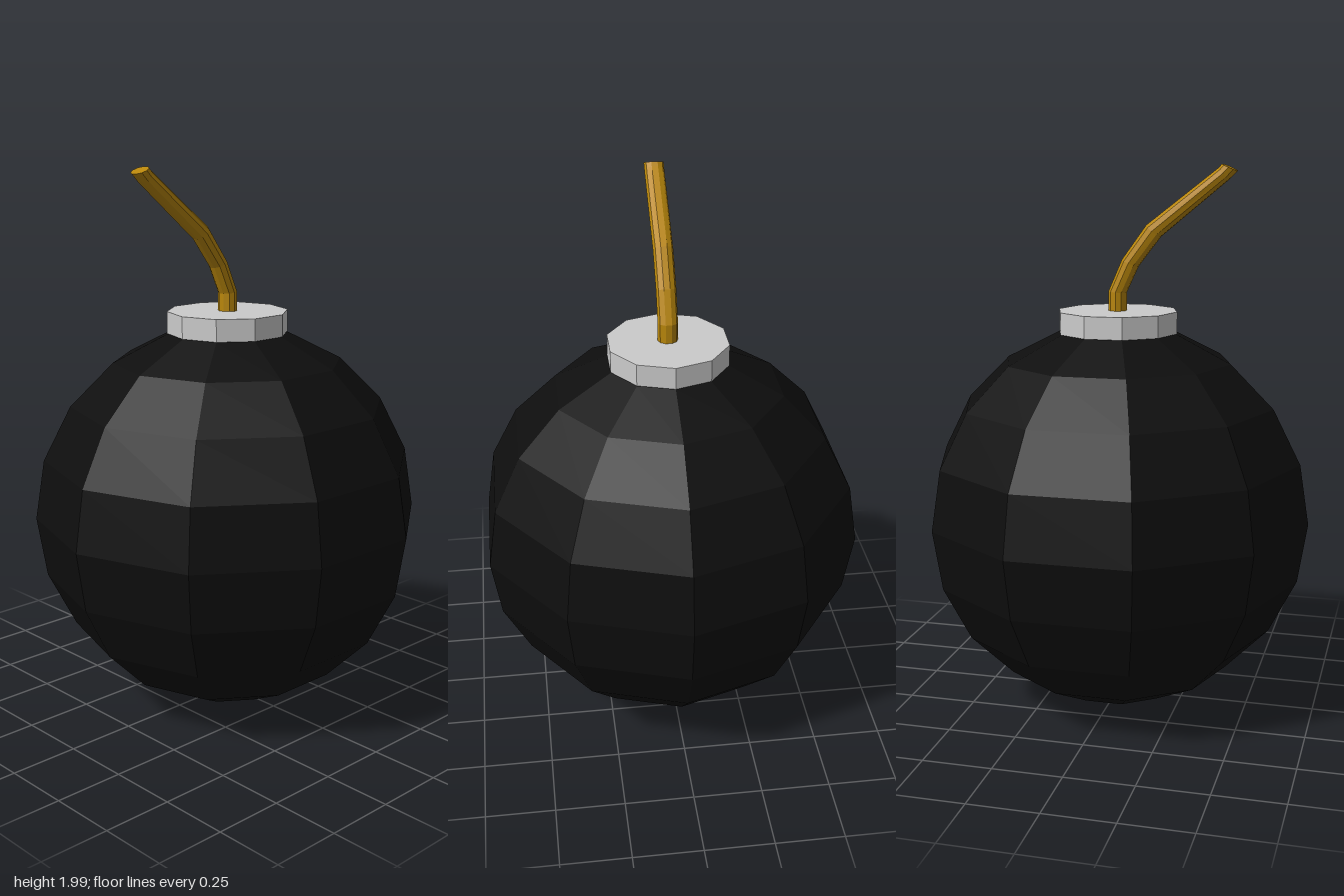
import * as THREE from 'three';

// Faceted mesh with its own face normals
function part(name, geometry, color) {
  const flat = geometry.toNonIndexed();
  flat.computeVertexNormals();
  const mesh = new THREE.Mesh(flat, new THREE.MeshStandardMaterial({ color, flatShading: true }));
  mesh.name = name;
  return mesh;
}

// Fuse rings: centre x, centre y, half-width x, half-width y
const FUSE_RINGS = [
  [0, 1.46, 0.033, 0],
  [0, 1.545, 0.033, 0.003],
  [-0.047, 1.65, 0.03, 0.013],
  [-0.132, 1.765, 0.026, 0.022],
  [-0.383, 1.967, 0.02, 0.02],
  [-0.403, 1.988, 0.028, 0.012],
];

// Bend a unit cylinder so each of its rings follows the list above
function fuseGeometry() {
  const spans = FUSE_RINGS.length - 1;
  const geometry = new THREE.CylinderGeometry(1, 1, spans, 10, spans);
  const p = geometry.attributes.position;
  for (let i = 0; i < p.count; i++) {
    const [cx, cy, hx, hy] = FUSE_RINGS[Math.round(p.getY(i) + spans / 2)];
    const u = p.getX(i);
    p.setXYZ(i, cx + hx * u, cy + hy * u, 0.036 * p.getZ(i));
  }
  return geometry;
}

export function createModel() {
  const model = new THREE.Group();
  model.name = 'roundBomb';

  // Ten-sided ball
  const body = part('body', new THREE.SphereGeometry(0.713, 10, 10), 0x0e0e0e);
  body.position.y = 0.718;

  // Collar disc, corners in line with the ball's
  const collar = part('collar', new THREE.CylinderGeometry(0.221, 0.221, 0.08, 10).rotateY(Math.PI / 2), 0xcccccc);
  collar.position.y = 1.438;

  const fuse = part('fuse', fuseGeometry(), 0xb8860b);

  model.add(body, collar, fuse);
  return model;
}
